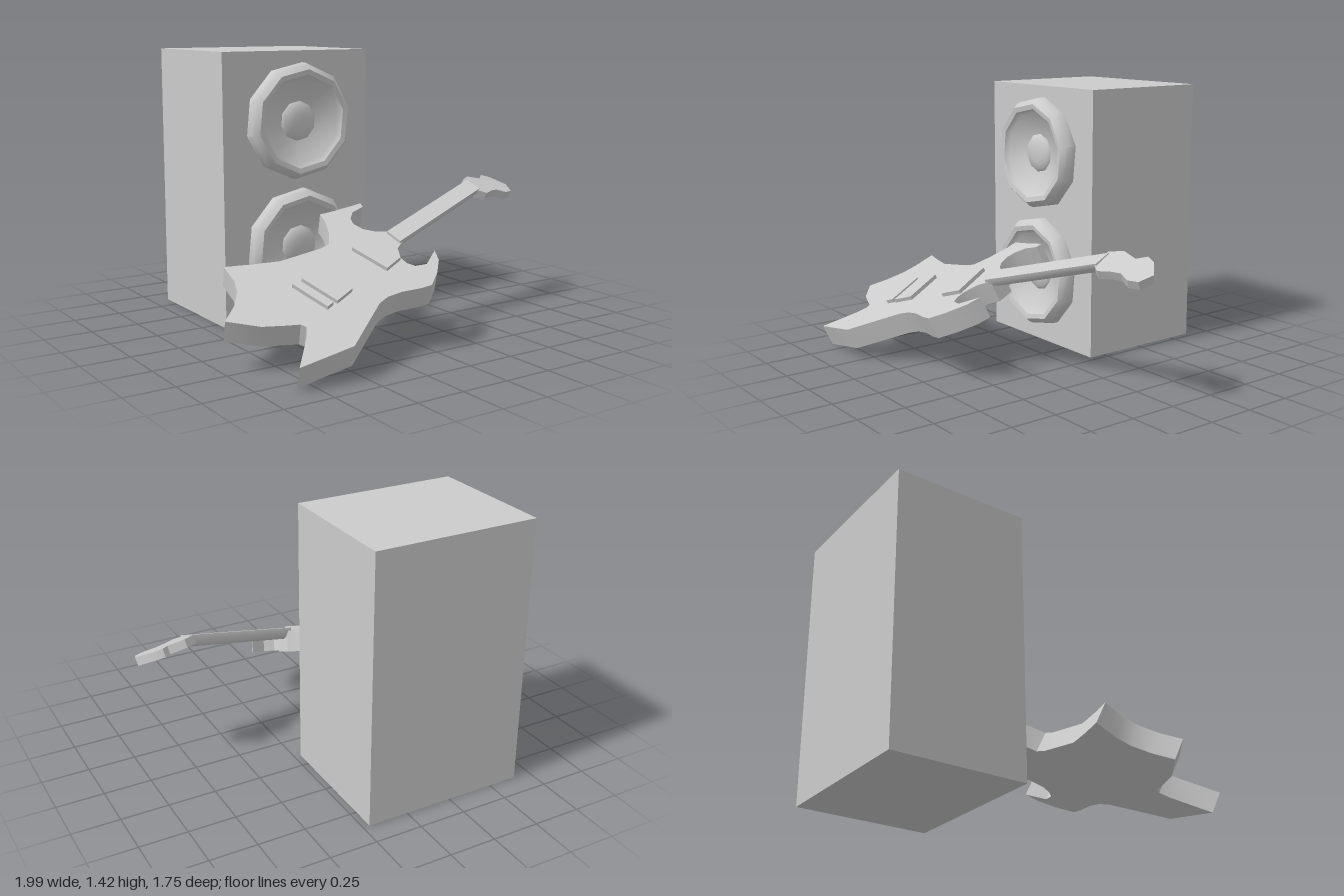
import * as THREE from 'three';
import { toCreasedNormals } from 'three/addons/utils/BufferGeometryUtils.js';

const material = new THREE.MeshStandardMaterial({ color: 0xcccccc });

function part(name, geometry, parent) {
  const mesh = new THREE.Mesh(geometry, material);
  mesh.name = name;
  parent.add(mesh);
  return mesh;
}

// Matrix taking plan coordinates (x, z, depth) to a plane sloping sx along x and sz along z
function slopedPlane(height, sx, sz) {
  const n = new THREE.Vector3(-sx, 1, -sz).normalize().negate();
  return new THREE.Matrix4()
    .makeBasis(new THREE.Vector3(1, sx, 0), new THREE.Vector3(0, sz, 1), n)
    .setPosition(0, height, 0);
}

// Slab with a plan outline, from depth "start" below the plane, "depth" thick
function slab(points, start, depth, matrix) {
  const shape = new THREE.Shape(points.map(([x, z]) => new THREE.Vector2(x, z)));
  const geo = new THREE.ExtrudeGeometry(shape, { depth, bevelEnabled: false });
  geo.translate(0, 0, start).applyMatrix4(matrix);
  return toCreasedNormals(geo, 0.6);
}

function buildSpeaker() {
  const cabinet = new THREE.Group();
  cabinet.name = 'speakerCabinet';
  part('cabinetBox', new THREE.BoxGeometry(0.87, 1.42, 0.715), cabinet).position.set(-0.22, 0.71, -0.5175);

  // Ten-sided driver: rim, sunken cone and dust cap
  const profile = [[0.305, 0], [0.305, 0.032], [0.293, 0.058], [0.272, 0.08], [0.245, 0.075],
    [0.225, 0.05], [0.105, 0.012], [0.09, 0.026], [0.045, 0.036], [0, 0.036]];
  const driver = new THREE.LatheGeometry(
    profile.map(([r, y]) => new THREE.Vector2(r, y)), 10, Math.PI / 6);
  driver.rotateX(Math.PI / 2);
  const creased = toCreasedNormals(driver, 0.7);
  [['upperDriver', 1.055], ['lowerDriver', 0.395]].forEach(([name, y]) =>
    part(name, creased, cabinet).position.set(-0.22, y, -0.16));
  return cabinet;
}

function buildGuitar() {
  const guitar = new THREE.Group();
  guitar.name = 'guitar';
  const plane = slopedPlane(0.628, 0.167, -0.43);

  // Body with pointed horns and cutaways
  const outline = [
    [-1, 0.49], [-0.92, 0.425], [-0.86, 0.35], [-0.838, 0.28], [-0.835, 0.17],
    [-0.7, 0.213], [-0.57, 0.25], [-0.34, 0.255], [-0.285, 0.245], [-0.24, 0.175], [-0.208, 0.09],
    [-0.2, 0.028], [-0.12, 0.035], [0.045, 0.04], [0.04, 0.07], [-0.035, 0.085],
    [-0.075, 0.125], [-0.085, 0.165], [-0.065, 0.22], [-0.02, 0.262], [0.055, 0.3],
    [0.07, 0.385], [0.01, 0.42], [-0.02, 0.485], [-0.015, 0.53], [0.01, 0.565], [0.07, 0.578], [0.17, 0.515],
    [0.145, 0.58], [0.08, 0.65], [0, 0.71], [-0.06, 0.705], [-0.16, 0.685], [-0.24, 0.683],
    [-0.3, 0.7], [-0.56, 0.872], [-0.845, 0.872], [-0.715, 0.725], [-0.69, 0.68],
    [-0.705, 0.655], [-0.76, 0.635], [-0.87, 0.59]];
  part('body', slab(outline, 0, 0.117, plane), guitar);

  // Pickups and bridge, parallelograms in plan
  const block = (name, x, z, width) => {
    const pts = [[0, 0], [width, -0.34 * width], [width + 0.07, 0.2 - 0.34 * width], [0.07, 0.2]];
    part(name, slab(pts.map(([a, b]) => [x + a, z + b]), -0.02, 0.025, plane), guitar);
  };
  block('bridge', -0.615, 0.43, 0.04);
  block('bridgePickup', -0.553, 0.417, 0.108);
  block('neckPickup', -0.21, 0.335, 0.108);

  // Neck: flat on top, rounded below
  const section = new THREE.Shape([[-0.5, -0.015], [0.5, -0.015], [0.5, 0.008], [0.36, 0.032],
    [0.14, 0.045], [-0.14, 0.045], [-0.36, 0.032], [-0.5, 0.008]].map(([x, y]) => new THREE.Vector2(x, y)));
  const neck = new THREE.ExtrudeGeometry(section, { depth: 1, bevelEnabled: false });
  const along = new THREE.Matrix4()
    .makeBasis(new THREE.Vector3(0.015, 0.092, 0), new THREE.Vector3(0, 0, 1), new THREE.Vector3(0.665, -0.171, 0))
    .setPosition(0.035, 0.349, 0);
  neck.applyMatrix4(along).applyMatrix4(plane);
  part('neck', toCreasedNormals(neck, 0.8), guitar);

  // Headstock tilting back from the neck
  const head = [[0.675, 0.128], [0.74, 0.085], [0.83, 0.095], [0.87, 0.052], [0.92, 0.065],
    [0.99, 0.13], [0.965, 0.2], [0.91, 0.22], [0.85, 0.203], [0.8, 0.22], [0.74, 0.252], [0.69, 0.228]];
  const headPlane = slopedPlane(0.68 + 0.69 * 0.166 + 0.175 * 0.43, -0.166, -0.43);
  part('headstock', slab(head, 0, 0.045, headPlane), guitar);
  return guitar;
}

export function createModel() {
  const model = new THREE.Group();
  model.name = 'guitarAndSpeaker';
  model.add(buildSpeaker(), buildGuitar());
  return model;
}
